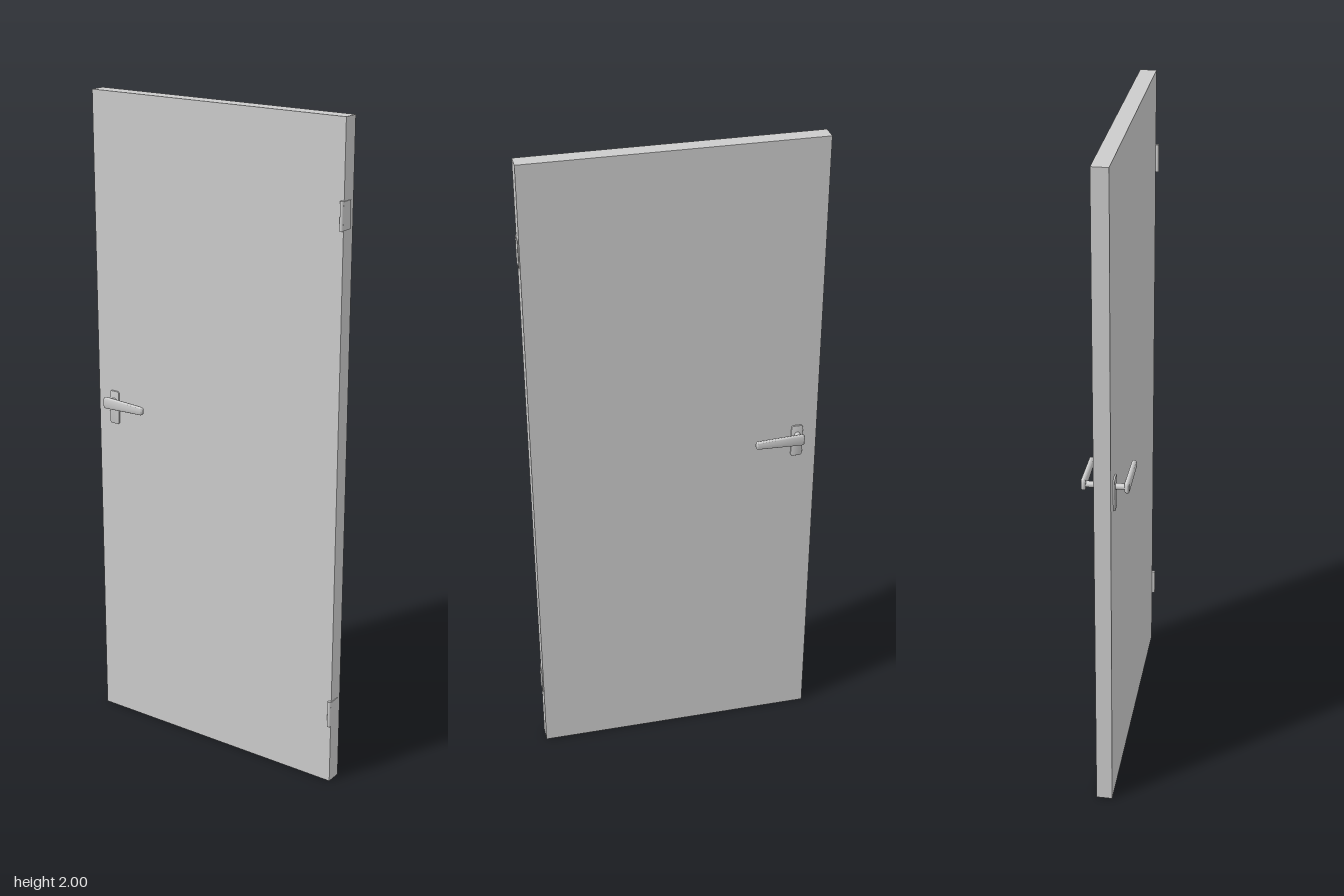
import * as THREE from 'three';
import { toCreasedNormals } from 'three/addons/utils/BufferGeometryUtils.js';

const material = new THREE.MeshStandardMaterial({ color: 0xcccccc });

function part(name, geometry, x = 0, y = 0, z = 0) {
  const mesh = new THREE.Mesh(geometry, material);
  mesh.name = name;
  mesh.position.set(x, y, z);
  return mesh;
}

// Quadrilateral outline (counter-clockwise corners) with rounded corners
function roundedOutline(corners, radius) {
  const shape = new THREE.Shape();
  const points = corners.map(([x, y]) => new THREE.Vector2(x, y));
  points.forEach((p, i) => {
    const toward = (q) => q.clone().sub(p).setLength(radius).add(p);
    const a = toward(points[(i + points.length - 1) % points.length]);
    const b = toward(points[(i + 1) % points.length]);
    if (i === 0) shape.moveTo(a.x, a.y);
    else shape.lineTo(a.x, a.y);
    shape.quadraticCurveTo(p.x, p.y, b.x, b.y);
  });
  shape.closePath();
  return shape;
}

// Extrusion from z0 to z1 whose edges are rounded inside the outline
function roundedPlate(shape, z0, z1, bevel) {
  const geometry = new THREE.ExtrudeGeometry(shape, {
    depth: z1 - z0 - 2 * bevel,
    bevelThickness: bevel,
    bevelSize: bevel,
    bevelOffset: -bevel,
    bevelSegments: 5,
    curveSegments: 8,
  });
  geometry.translate(0, 0, z0 + bevel);
  return toCreasedNormals(geometry, 0.7);
}

// Back plate, spindle and tapered lever for the front face
function createHandle(name) {
  const handle = new THREE.Group();
  handle.name = name;

  const plate = roundedOutline([[-0.388, 0.986], [-0.353, 0.986], [-0.353, 1.091], [-0.388, 1.091]], 0.009);
  handle.add(part('handlePlate', roundedPlate(plate, 0.023, 0.029, 0.0015)));

  const spindle = new THREE.CylinderGeometry(0.009, 0.009, 0.034, 24).rotateX(Math.PI / 2);
  handle.add(part('handleSpindle', spindle, -0.371, 1.06, 0.044));

  const lever = roundedOutline([[-0.384, 1.043], [-0.234, 1.048], [-0.234, 1.073], [-0.384, 1.08]], 0.01);
  handle.add(part('handleLever', roundedPlate(lever, 0.054, 0.068, 0.006)));
  return handle;
}

// Hinge barrel with the leaf let into the door edge
function createHinge(name, y) {
  const hinge = new THREE.Group();
  hinge.name = name;
  hinge.position.y = y;
  hinge.add(part('hingeBarrel', new THREE.CylinderGeometry(0.0055, 0.0055, 0.083, 20), 0.4255, 0, 0.0285));
  hinge.add(part('hingeLeaf', new THREE.BoxGeometry(0.003, 0.08, 0.038), 0.4295, 0, 0.01));
  return hinge;
}

export function createModel() {
  const door = new THREE.Group();
  door.name = 'door';

  door.add(part('doorPanel', new THREE.BoxGeometry(0.86, 2, 0.048), -0.001, 1, 0));

  // The back handle mirrors the front one through the panel
  const backHandle = createHandle('backHandle');
  backHandle.scale.z = -1;
  door.add(createHandle('frontHandle'), backHandle);

  door.add(createHinge('upperHinge', 1.735), createHinge('lowerHinge', 0.23));
  return door;
}
